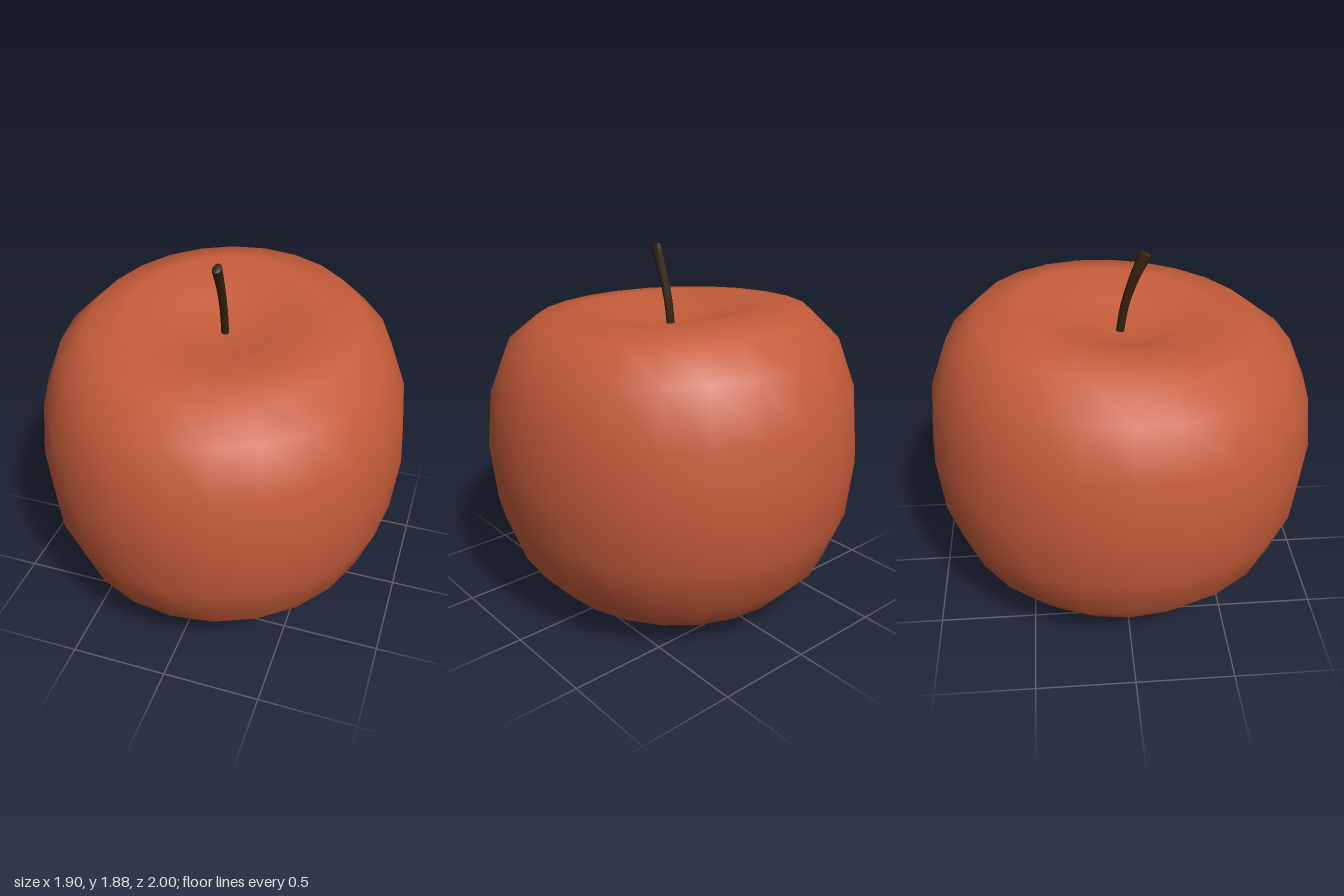
import * as THREE from 'three';
import { mergeVertices } from 'three/addons/utils/BufferGeometryUtils.js';

const skin = new THREE.MeshStandardMaterial({ color: 0xc55c3a });
skin.name = 'red skin';
const bark = new THREE.MeshStandardMaterial({ color: 0x33220f });
bark.name = 'dark brown stem';

// Fruit: rings of [radius, height, forward slope], bottom to top
function createFruit() {
  const rings = [
    [0, 0.03, 0], [0.26, 0.02, 0], [0.51, 0.018, 0], [0.71, 0.125, 0],
    [0.87, 0.3, 0], [0.97, 0.565, 0], [1, 0.87, 0], [0.97, 1.17, 0.02],
    [0.875, 1.41, 0.04], [0.72, 1.545, 0.07], [0.51, 1.583, 0.103],
    [0.26, 1.505, 0.1], [0, 1.455, 0],
  ];
  const sides = 24;
  const lathe = new THREE.LatheGeometry(rings.map(([r, y]) => new THREE.Vector2(r, y)), sides);
  const pos = lathe.attributes.position;
  for (let i = 0; i < pos.count; i++) {
    const ring = i % rings.length;
    const x = pos.getX(i), z = pos.getZ(i);
    let y = pos.getY(i) - rings[ring][2] * z;
    // four soft lobes under the base
    if (ring === 2) y += 0.013 * Math.cos(4 * Math.atan2(x, z));
    pos.setXYZ(i, x * 0.95, y, z);
  }
  // weld the seam so the shading is continuous
  lathe.deleteAttribute('uv');
  lathe.deleteAttribute('normal');
  const geometry = mergeVertices(lathe, 1e-4);
  geometry.computeVertexNormals();
  const mesh = new THREE.Mesh(geometry, skin);
  mesh.name = 'fruit';
  return mesh;
}

// Stem: curved tube leaning forward, widening to a blunt tip
function createStem() {
  const group = new THREE.Group();
  group.name = 'stem';
  const path = new THREE.CatmullRomCurve3([
    new THREE.Vector3(0, 1.43, -0.005), new THREE.Vector3(0, 1.6, 0.022),
    new THREE.Vector3(0, 1.75, 0.07), new THREE.Vector3(0, 1.866, 0.122),
  ]);
  const steps = 8, sides = 8, radius = 0.021;
  const geometry = new THREE.TubeGeometry(path, steps, radius, sides);
  const pos = geometry.attributes.position;
  const widen = (t) => [1 + 0.1 * t ** 4, 1 + 0.65 * t ** 3];
  const p = new THREE.Vector3();
  for (let i = 0; i < pos.count; i++) {
    const t = Math.floor(i / (sides + 1)) / steps;
    const c = path.getPointAt(t);
    const [wx, wz] = widen(t);
    p.fromBufferAttribute(pos, i).sub(c);
    pos.setXYZ(i, c.x + p.x * wx, c.y + p.y * wz, c.z + p.z * wz);
  }
  geometry.computeVertexNormals();
  const shaft = new THREE.Mesh(geometry, bark);
  shaft.name = 'stemShaft';

  // slightly domed end
  const tip = new THREE.Mesh(
    new THREE.SphereGeometry(radius, sides, 3, 0, Math.PI * 2, 0, Math.PI / 2), bark);
  tip.name = 'stemTip';
  const [wx, wz] = widen(1);
  tip.scale.set(wx, 0.4, wz);
  tip.position.copy(path.getPointAt(1));
  tip.quaternion.setFromUnitVectors(new THREE.Vector3(0, 1, 0), path.getTangentAt(1));
  group.add(shaft, tip);
  return group;
}

export function createModel() {
  const model = new THREE.Group();
  model.name = 'apple';
  model.add(createFruit(), createStem());
  return model;
}
